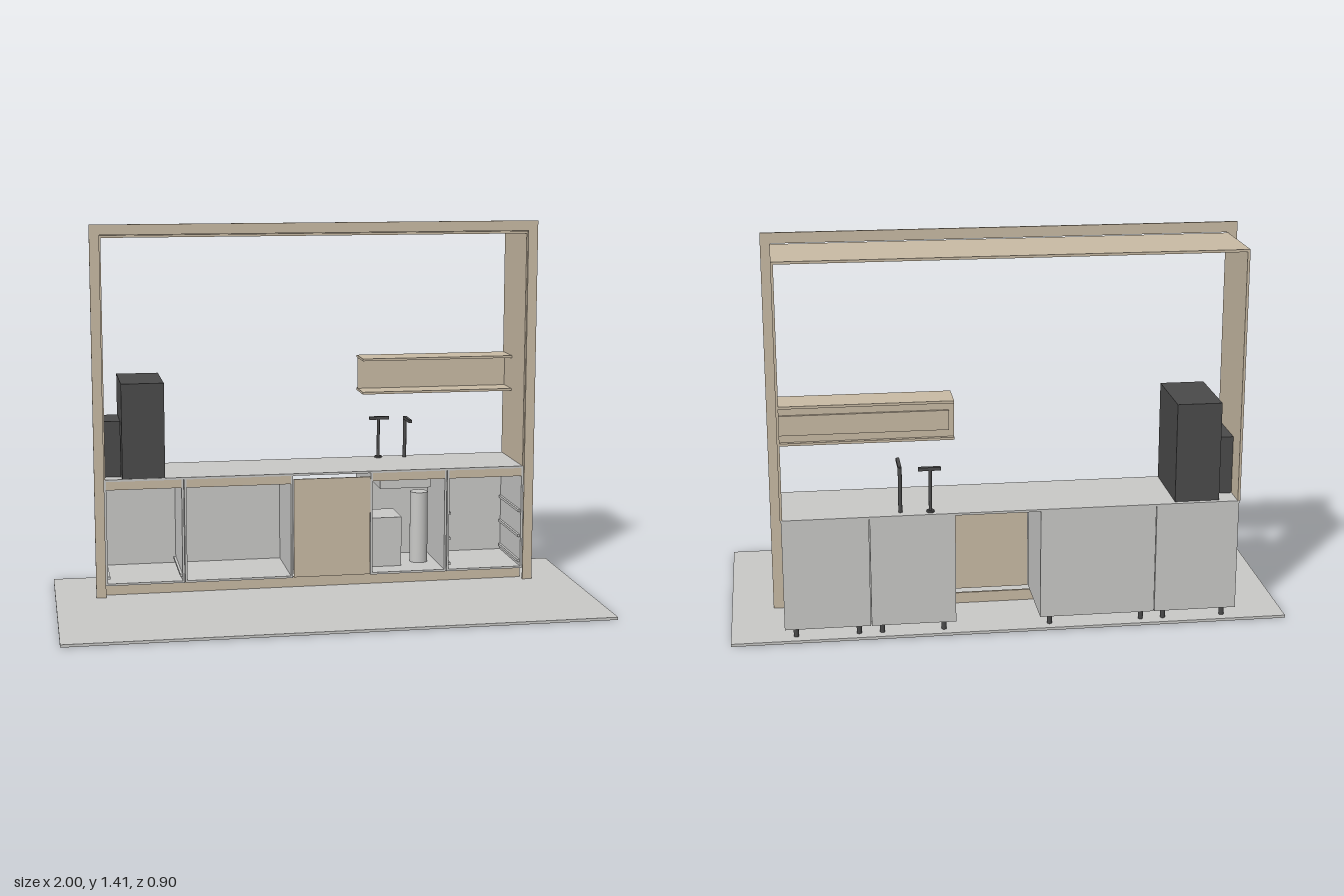
import * as THREE from 'three';

export function createModel() {
  const model = new THREE.Group();
  const mat = (name, color) => {
    const m = new THREE.MeshStandardMaterial({ color });
    m.name = name;
    return m;
  };
  const wood = mat('wood', 0xc8baa4);
  const grey = mat('light grey', 0xc8c8c6);
  const dark = mat('dark grey', 0x4a4a4a);

  // Box given by its lower and upper bounds on each axis
  const box = (name, m, x0, x1, y0, y1, z0, z1, parent = model) => {
    const mesh = new THREE.Mesh(new THREE.BoxGeometry(x1 - x0, y1 - y0, z1 - z0), m);
    mesh.position.set((x0 + x1) / 2, (y0 + y1) / 2, (z0 + z1) / 2);
    mesh.name = name;
    parent.add(mesh);
    return mesh;
  };
  // Upright cylinder standing between two heights
  const post = (name, m, x, z, r, y0, y1, parent = model, sides = 20) => {
    const mesh = new THREE.Mesh(new THREE.CylinderGeometry(r, r, y1 - y0, sides), m);
    mesh.position.set(x, (y0 + y1) / 2, z);
    mesh.name = name;
    parent.add(mesh);
    return mesh;
  };

  const BACK = -0.448, FRONT = -0.147, T = 0.008;

  box('floor', grey, -1, 1, 0, 0.01, -0.45, 0.45);

  // Portal surround: front trim, side panels and top panel
  const portal = new THREE.Group();
  portal.name = 'portal';
  model.add(portal);
  for (const s of [-1, 1]) {
    const span = (a, b) => (s > 0 ? [a, b] : [-b, -a]);
    box('sideTrim', wood, ...span(0.811, 0.848), 0.01, 1.41, -0.145, -0.137, portal);
    box('sidePanel', wood, ...span(0.806, 0.815), 0.46, 1.37, BACK, -0.145, portal);
  }
  box('topTrim', wood, -0.811, 0.811, 1.372, 1.41, -0.145, -0.137, portal);
  box('topPanel', wood, -0.806, 0.806, 1.361, 1.37, BACK, -0.145, portal);

  // Worktop and plinth
  box('worktop', grey, -0.813, 0.813, 0.452, 0.46, BACK, -0.145);
  box('plinth', wood, -0.811, 0.811, 0.01, 0.05, -0.182, -0.174);

  // Open-fronted base cabinets, with drawer runners at the listed heights
  const cabinets = [
    { x0: -0.811, x1: -0.513, runners: [0.08] },
    { x0: -0.511, x1: -0.097, runners: [] },
    { x0: 0.205, x1: 0.505, runners: [] },
    { x0: 0.508, x1: 0.811, runners: [0.08, 0.18, 0.28] },
  ];
  for (const { x0, x1, runners } of cabinets) {
    const c = new THREE.Group();
    c.name = 'cabinet';
    model.add(c);
    box('cabinetLeftSide', grey, x1 - T, x1, 0.052, 0.452, BACK, FRONT, c);
    box('cabinetRightSide', grey, x0, x0 + T, 0.052, 0.452, BACK, FRONT, c);
    box('cabinetBottom', grey, x0 + T, x1 - T, 0.052, 0.06, BACK, FRONT, c);
    box('cabinetBack', grey, x0 + T, x1 - T, 0.06, 0.452, BACK, BACK + T, c);
    box('cabinetRail', wood, x0 + T, x1 - T, 0.42, 0.452, FRONT - T, FRONT, c);
    for (const y of runners) {
      box('drawerRunner', grey, x0 + T, x0 + T + 0.009, y - 0.005, y + 0.005, -0.43, -0.155, c);
      box('drawerRunner', grey, x1 - T - 0.009, x1 - T, y - 0.005, y + 0.005, -0.43, -0.155, c);
    }
    for (const x of [x0 + 0.04, x1 - 0.04])
      for (const z of [-0.192, -0.408]) post('cabinetLeg', dark, x, z, 0.009, 0.01, 0.052, c, 16);
  }
  box('applianceFront', wood, -0.094, 0.203, 0.055, 0.438, -0.152, -0.144);

  // Under-sink fittings
  box('sinkBasin', grey, 0.255, 0.455, 0.375, 0.452, -0.39, -0.21);
  box('filterBox', grey, 0.215, 0.346, 0.06, 0.255, -0.395, -0.235);
  post('gasBottle', grey, 0.43, -0.3, 0.035, 0.06, 0.342, model, 32);

  // Taps: one with a cross bar, one with a forward spout
  post('tapBase', dark, 0.29, -0.42, 0.014, 0.46, 0.467);
  post('tapStem', dark, 0.29, -0.42, 0.006, 0.467, 0.62);
  box('tapCrossBar', dark, 0.253, 0.332, 0.613, 0.625, -0.427, -0.413);
  post('spoutStem', dark, 0.395, -0.41, 0.007, 0.46, 0.624);
  box('spoutArm', dark, 0.389, 0.401, 0.614, 0.626, -0.41, -0.305);

  // Machines on the worktop
  box('tallMachine', dark, -0.742, -0.582, 0.46, 0.82, -0.43, -0.147);
  box('smallMachine', dark, -0.805, -0.744, 0.46, 0.672, -0.36, -0.2);

  // Wall shelf: two boards, upright panel and rear cleat
  const shelf = new THREE.Group();
  shelf.name = 'wallShelf';
  model.add(shelf);
  box('upperBoard', wood, 0.207, 0.806, 0.861, 0.87, BACK, -0.32, shelf);
  box('lowerBoard', wood, 0.207, 0.806, 0.73, 0.739, BACK, -0.32, shelf);
  box('shelfPanel', wood, 0.207, 0.806, 0.739, 0.861, -0.434, -0.426, shelf);
  box('shelfCleat', wood, 0.225, 0.806, 0.765, 0.835, -0.443, -0.434, shelf);

  return model;
}
